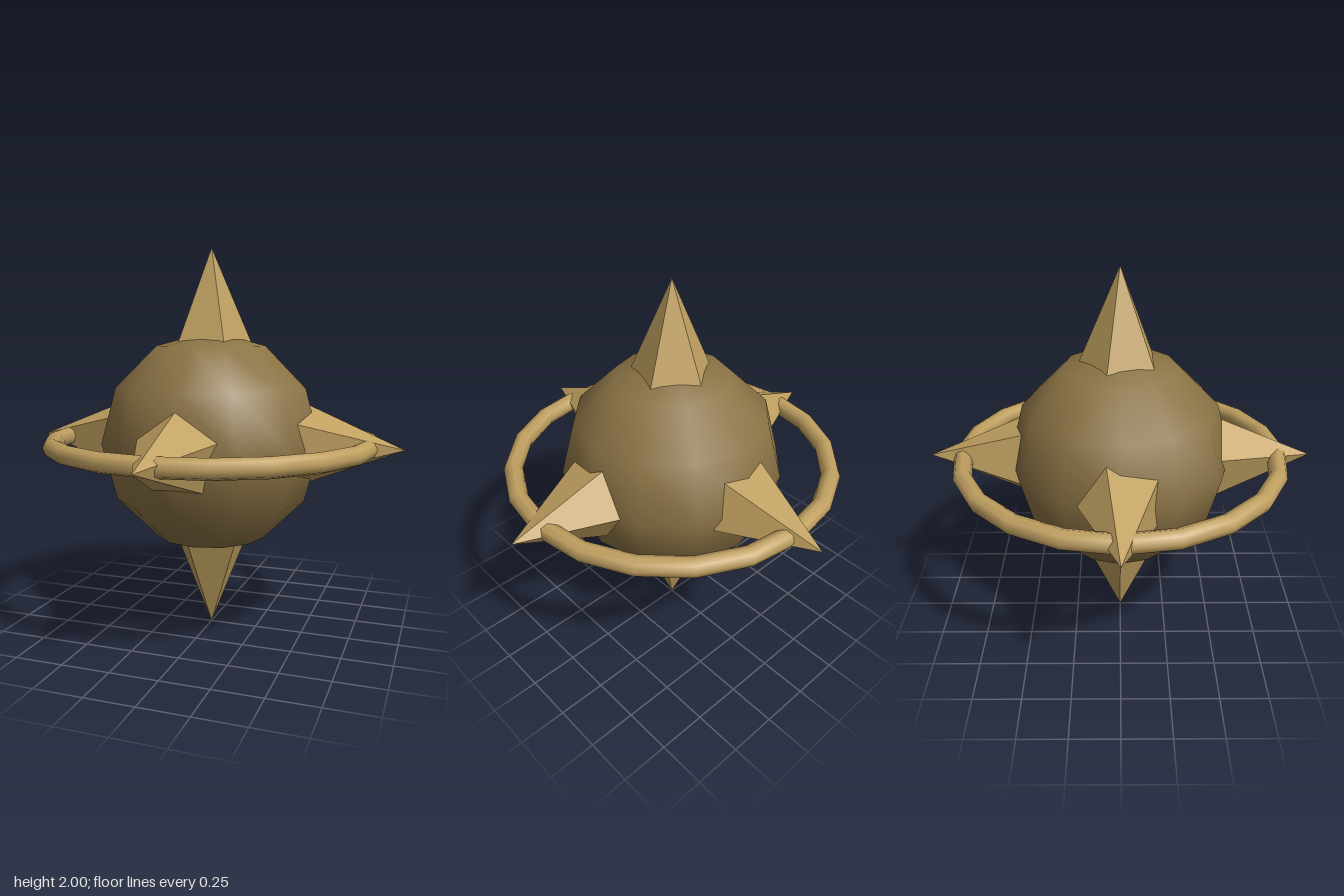
import * as THREE from 'three';

const CENTRE_Y = 1;

export function createModel() {
  const group = new THREE.Group();
  const bodyMaterial = new THREE.MeshStandardMaterial({ color: 0x8b7345 });
  const ringMaterial = new THREE.MeshStandardMaterial({ color: 0xc0a060 });
  const spikeMaterial = new THREE.MeshStandardMaterial({ color: 0xc0a060, flatShading: true });

  const add = (name, geometry, material) => {
    const mesh = new THREE.Mesh(geometry, material);
    mesh.name = name;
    mesh.position.y = CENTRE_Y;
    group.add(mesh);
    return mesh;
  };

  // Coarse, smooth-shaded ball
  add('body', new THREE.SphereGeometry(0.58, 12, 6), bodyMaterial);

  // Horizontal ring threaded through the four side spikes
  add('ring', new THREE.TorusGeometry(0.83, 0.049, 8, 20).rotateX(Math.PI / 2), ringMaterial);

  // Five-sided spikes: the axis each one points along, and where its ridge faces
  const spikes = [
    ['topSpike', [0, 1, 0], [0, 0, -1]],
    ['bottomSpike', [0, -1, 0], [-1, 0, 0]],
    ['leftSpike', [1, 0, 0], [0, 0, -1]],
    ['rightSpike', [-1, 0, 0], [0, 0, -1]],
    ['frontSpike', [0, 0, 1], [0, 1, 0]],
    ['backSpike', [0, 0, -1], [0, -1, 0]],
  ];
  const height = 0.58;
  const spikeGeometry = new THREE.ConeGeometry(0.25, height, 5).translate(0, 1 - height / 2, 0);
  for (const [name, axis, ridge] of spikes) {
    const y = new THREE.Vector3(...axis);
    const z = new THREE.Vector3(...ridge);
    const x = new THREE.Vector3().crossVectors(y, z);
    const spike = add(name, spikeGeometry, spikeMaterial);
    spike.quaternion.setFromRotationMatrix(new THREE.Matrix4().makeBasis(x, y, z));
  }

  return group;
}
